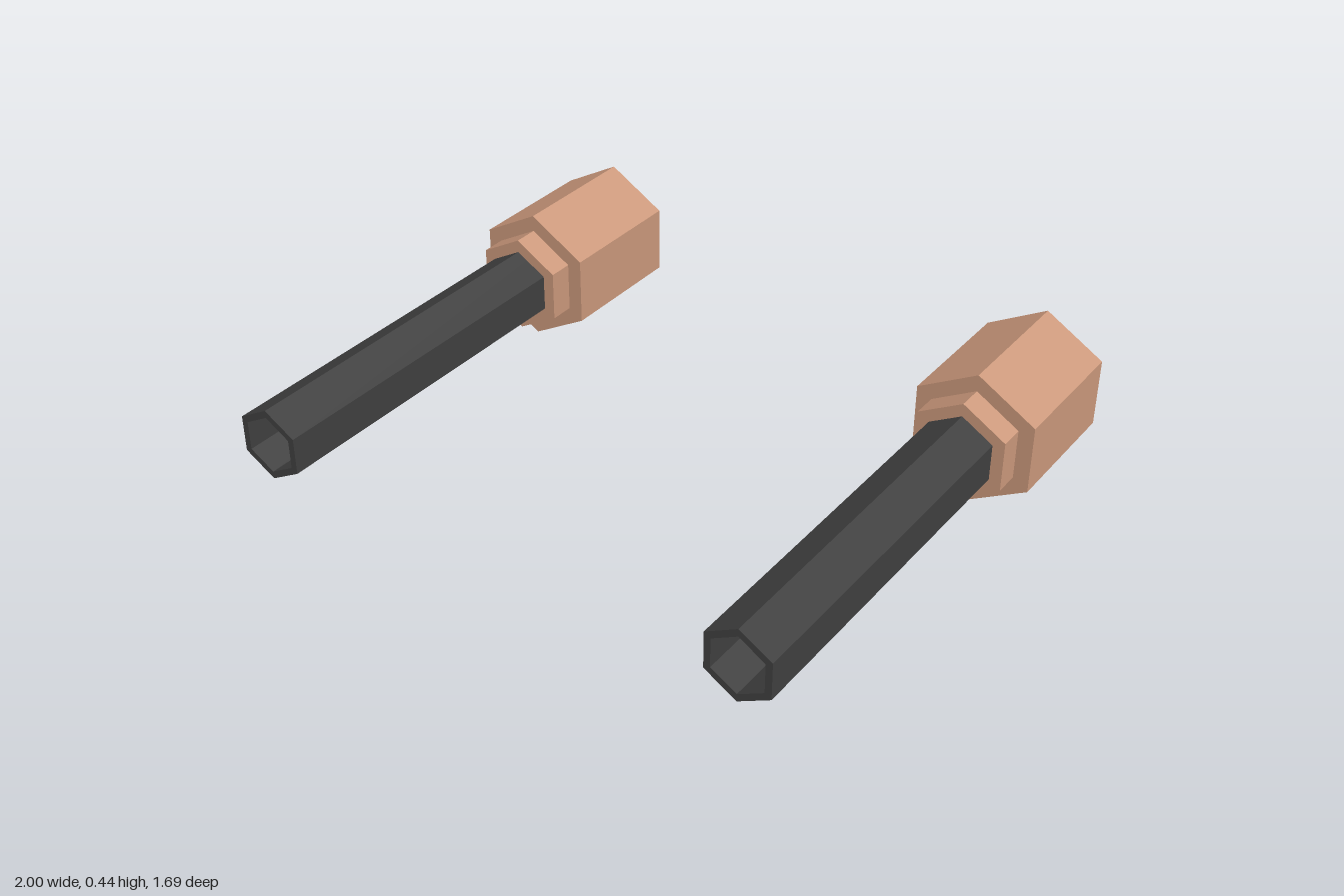
import * as THREE from 'three';

const copper = new THREE.MeshStandardMaterial({ color: 0xcc997c, flatShading: true });
const dark = new THREE.MeshStandardMaterial({ color: 0x404040, flatShading: true });

// Six-sided turned part along z; profile is [radius, z] pairs from back to front
function hexPart(name, profile, y, material) {
  const points = profile.map(([r, z]) => new THREE.Vector2(r, z));
  const geometry = new THREE.LatheGeometry(points, 6).rotateX(Math.PI / 2);
  const mesh = new THREE.Mesh(geometry, material);
  mesh.name = name;
  mesh.position.y = y;
  return mesh;
}

function createUnit(name) {
  const unit = new THREE.Group();
  unit.name = name;
  unit.add(
    // heavy rear housing
    hexPart('housing', [[0, -0.8], [0.219, -0.8], [0.219, -0.365], [0, -0.365]], 0.22, copper),
    // stepped collar in front of the housing
    hexPart('collar', [[0, -0.4], [0.162, -0.4], [0.162, -0.285], [0, -0.285]], 0.223, copper),
    // long tube with a rim and a blind bore at the front
    hexPart('barrel', [[0.118, -0.845], [0.118, 0.845], [0.094, 0.845], [0.094, -0.2], [0, -0.2]], 0.225, dark),
    // copper plug closing the tube at the back
    hexPart('endCap', [[0, -0.845], [0.118, -0.845]], 0.225, copper),
  );
  return unit;
}

export function createModel() {
  const model = new THREE.Group();
  model.name = 'twinBarrels';
  for (const side of [-1, 1]) {
    const unit = createUnit(side > 0 ? 'leftUnit' : 'rightUnit');
    unit.position.x = side * 0.81;
    model.add(unit);
  }
  return model;
}
